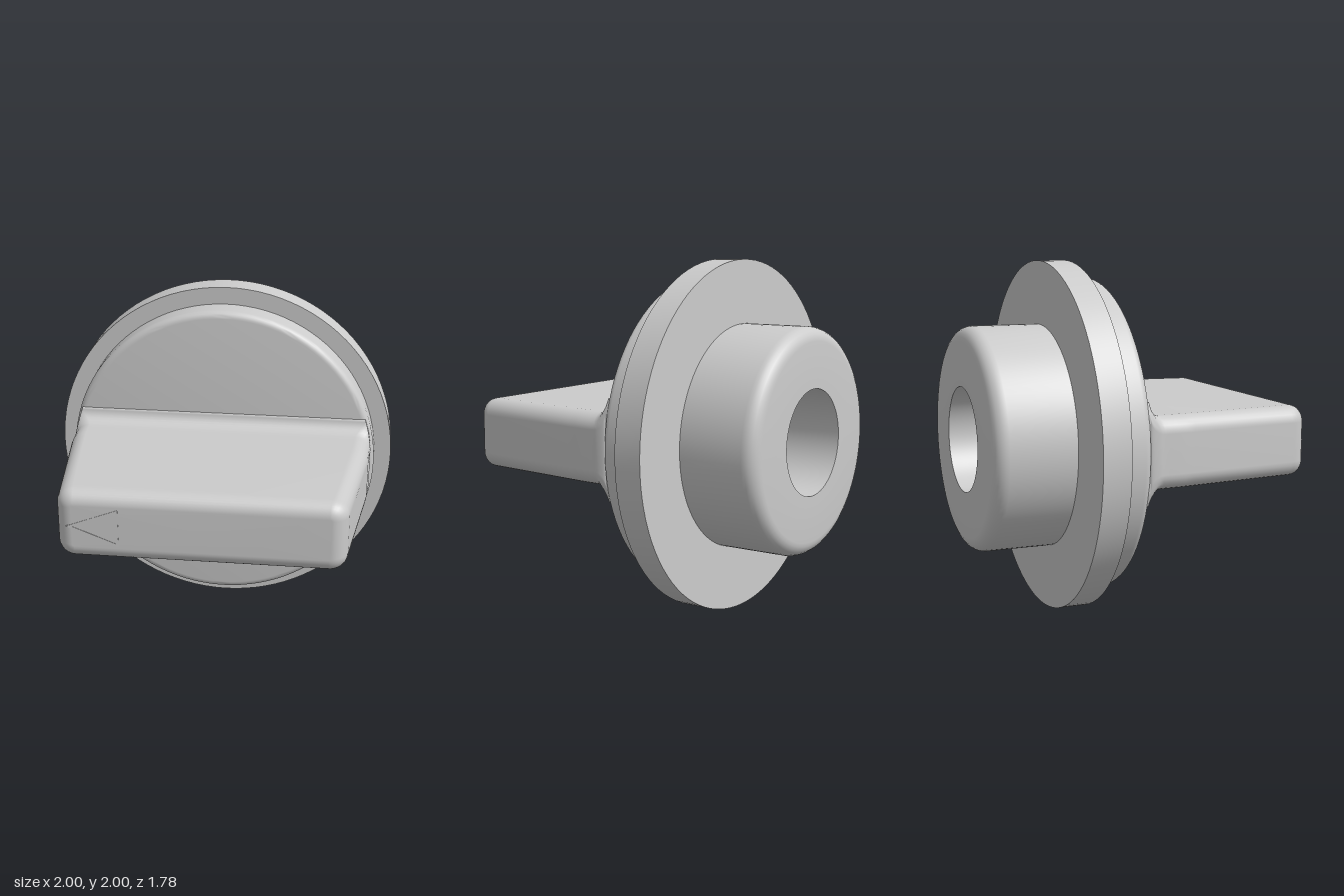
import * as THREE from 'three';
import { toCreasedNormals } from 'three/addons/utils/BufferGeometryUtils.js';

const material = new THREE.MeshStandardMaterial({ color: 0xcccccc });
const FRONT = 0.888;

function addMesh(group, name, geometry) {
  const mesh = new THREE.Mesh(geometry, material);
  mesh.name = name;
  group.add(mesh);
}

// Quarter-round points about (cx, cy), from angle a0 to a0 + 90 degrees
function quarter(cx, cy, r, a0, n = 6) {
  return Array.from({ length: n + 1 }, (_, i) => {
    const a = a0 + (i / n) * Math.PI / 2;
    return new THREE.Vector2(cx + r * Math.cos(a), cy + r * Math.sin(a));
  });
}

// Turned body: blind bore, rounded boss, flange and collar
function bodyGeometry() {
  const v = (x, y) => new THREE.Vector2(x, y);
  const profile = [
    v(0, -0.51), v(0.3, -0.51), v(0.3, -0.89),
    ...quarter(0.56, -0.81, 0.08, -Math.PI / 2),
    v(0.64, -0.43), v(1, -0.43), v(1, -0.27), v(0.9, -0.27),
    ...quarter(0.86, -0.15, 0.04, 0),
    v(0, -0.11),
  ];
  const geometry = new THREE.LatheGeometry(profile, 96);
  geometry.rotateX(Math.PI / 2);
  return toCreasedNormals(geometry, 0.6);
}

// Half width of the grip, tapering towards the front
function halfWidth(z) {
  return z > 0.1 ? 0.868 - 0.121 * (z - 0.1) : 0.868 + 0.05 * (0.1 - z);
}

// Rounded-rectangle section, grown by `grow` and kept inside the collar
function section(z, grow) {
  const w = halfWidth(z) + grow, h = 0.2 + grow;
  const r = Math.max(0.09 + Math.min(grow, 0), 0.01);
  const corners = [[1, 1], [-1, 1], [-1, -1], [1, -1]];
  return corners.flatMap(([sx, sy], k) =>
    quarter(sx * (w - r), sy * (h - r), r, k * Math.PI / 2).map((p) => {
      const limit = Math.sqrt(0.885 ** 2 - p.y ** 2);
      return [THREE.MathUtils.clamp(p.x, -limit, limit), p.y, z];
    }));
}

// Grip: root fillet, tapered sides and rounded front edge, lofted in loops
function gripGeometry() {
  const rings = [section(-0.15, 0.08)];
  const steps = 8, r = 0.08;
  for (let i = 0; i <= steps; i++) {
    const a = (i / steps) * Math.PI / 2;
    rings.push(section(-0.11 + r * (1 - Math.cos(a)), r * (1 - Math.sin(a))));
  }
  for (const z of [0, 0.05, 0.1, 0.15, 0.79]) rings.push(section(z, 0));
  for (let i = 0; i <= steps; i++) {
    const a = (i / steps) * Math.PI / 2;
    rings.push(section(FRONT - r + r * Math.sin(a), -r * (1 - Math.cos(a))));
  }
  const n = rings[0].length, index = [];
  for (let i = 0; i < rings.length - 1; i++) {
    for (let j = 0; j < n; j++) {
      const a = i * n + j, b = i * n + (j + 1) % n;
      index.push(a, b, b + n, a, b + n, a + n);
    }
  }
  // Front cap
  const last = (rings.length - 1) * n, centre = rings.length * n;
  for (let j = 0; j < n; j++) index.push(centre, last + j, last + (j + 1) % n);

  const geometry = new THREE.BufferGeometry();
  const positions = [...rings.flat(2), 0, 0, FRONT];
  geometry.setAttribute('position', new THREE.Float32BufferAttribute(positions, 3));
  geometry.setIndex(index);
  geometry.computeVertexNormals();
  return geometry;
}

// Thin triangular outline on the front of the grip
function pointerGeometry() {
  const triangle = (tip, base, half) =>
    [[tip, 0], [base, -half], [base, half]].map(([x, y]) => new THREE.Vector2(x, y));
  const shape = new THREE.Shape(triangle(-0.725, -0.44, 0.11));
  shape.holes.push(new THREE.Path(triangle(-0.69, -0.452, 0.092)));
  const geometry = new THREE.ExtrudeGeometry(shape, { depth: 0.03, bevelEnabled: false });
  return geometry.translate(0, 0, 0.86);
}

export function createModel() {
  const knob = new THREE.Group();
  knob.name = 'knob';
  addMesh(knob, 'body', bodyGeometry());
  addMesh(knob, 'grip', gripGeometry());
  addMesh(knob, 'pointerMark', pointerGeometry());
  knob.position.y = 1;

  const model = new THREE.Group();
  model.name = 'rotaryKnob';
  model.add(knob);
  return model;
}
